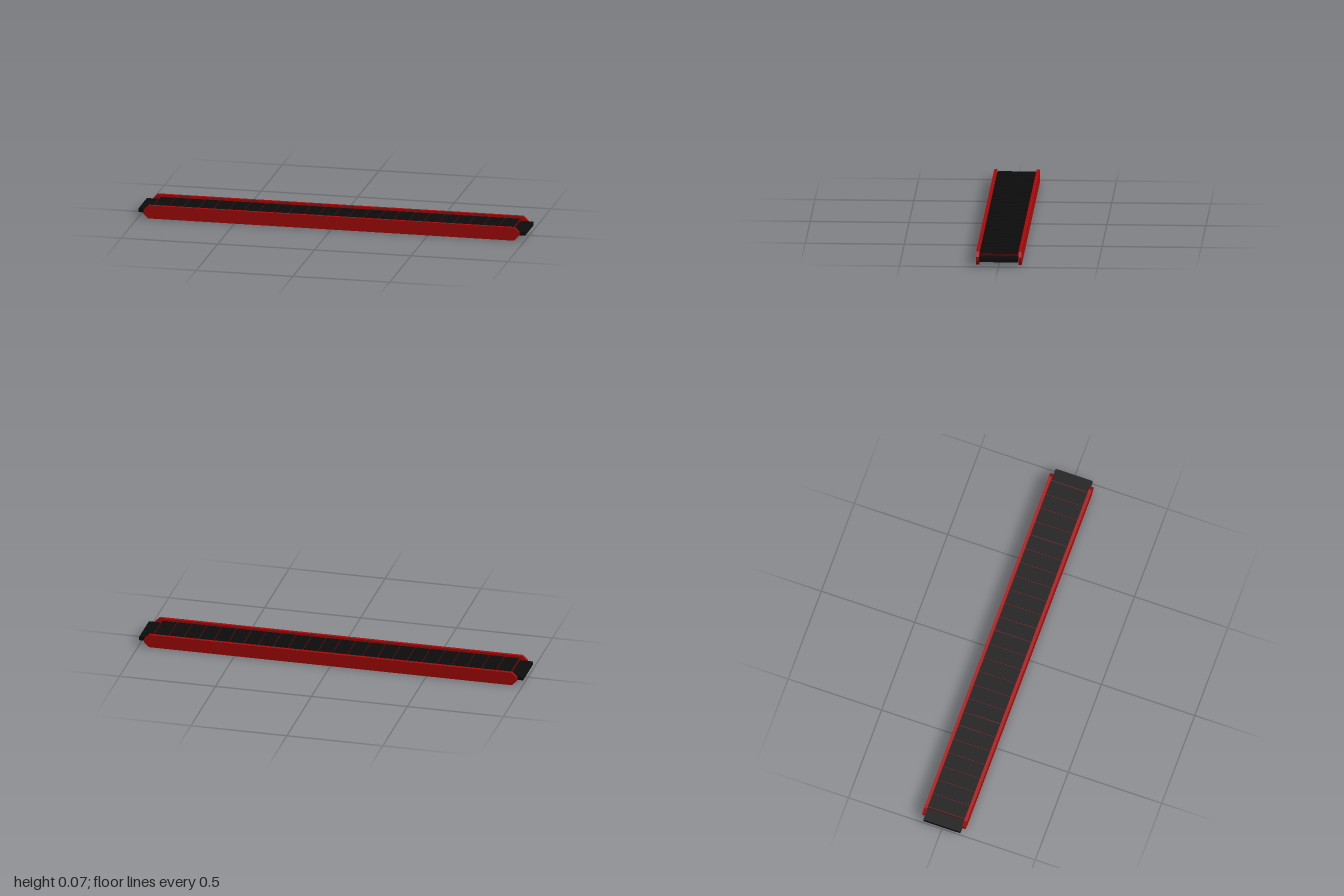
import * as THREE from 'three';

const red = new THREE.MeshStandardMaterial({ color: 0xaa0808, flatShading: true });
const darkRed = new THREE.MeshStandardMaterial({ color: 0x5a0606, flatShading: true });
const black = new THREE.MeshStandardMaterial({ color: 0x0c0c0c, flatShading: true });

const PITCH = 0.0775;   // spacing of the tread slats
const HALF = 12;        // slats on each side of the middle
const MID = 0.035;      // height of the centre line

function box(name, w, h, d, x, y, z, material) {
  const mesh = new THREE.Mesh(new THREE.BoxGeometry(w, h, d), material);
  mesh.position.set(x, y, z);
  mesh.name = name;
  return mesh;
}

export function createModel() {
  const model = new THREE.Group();
  model.name = 'slattedWalkway';

  // Side rails: long plates with chamfered ends
  const outline = new THREE.Shape([
    [-0.945, 0], [0.945, 0], [0.97, 0.024], [0.97, 0.044],
    [0.945, 0.068], [-0.945, 0.068], [-0.97, 0.044], [-0.97, 0.024],
  ].map(([x, y]) => new THREE.Vector2(x, y)));
  const railGeometry = new THREE.ExtrudeGeometry(outline, { depth: 0.016, bevelEnabled: false });
  for (const side of [1, -1]) {
    const rail = new THREE.Mesh(railGeometry, red);
    rail.position.z = side > 0 ? 0.099 : -0.115;
    rail.name = side > 0 ? 'frontRail' : 'backRail';
    model.add(rail);
  }

  // Core slab, showing in the grooves between slats and at both ends
  const coreLength = 2 * HALF * PITCH + 0.006;
  model.add(box('core', coreLength, 0.036, 0.2, 0, MID, 0, darkRed));

  // Thin slats on the top and the underside
  const slats = new THREE.Group();
  slats.name = 'slats';
  for (let i = -HALF; i < HALF; i++) {
    const x = (i + 0.5) * PITCH;
    for (const side of [1, -1]) {
      slats.add(box(side > 0 ? 'topSlat' : 'bottomSlat',
        PITCH - 0.005, 0.003, 0.2, x, MID + side * 0.0185, 0, black));
    }
  }
  model.add(slats);

  // Connecting tongues projecting past the rails
  for (const side of [1, -1]) {
    model.add(box(side > 0 ? 'leftTongue' : 'rightTongue',
      0.07, 0.019, 0.198, side * 0.965, MID, 0, black));
  }
  return model;
}
